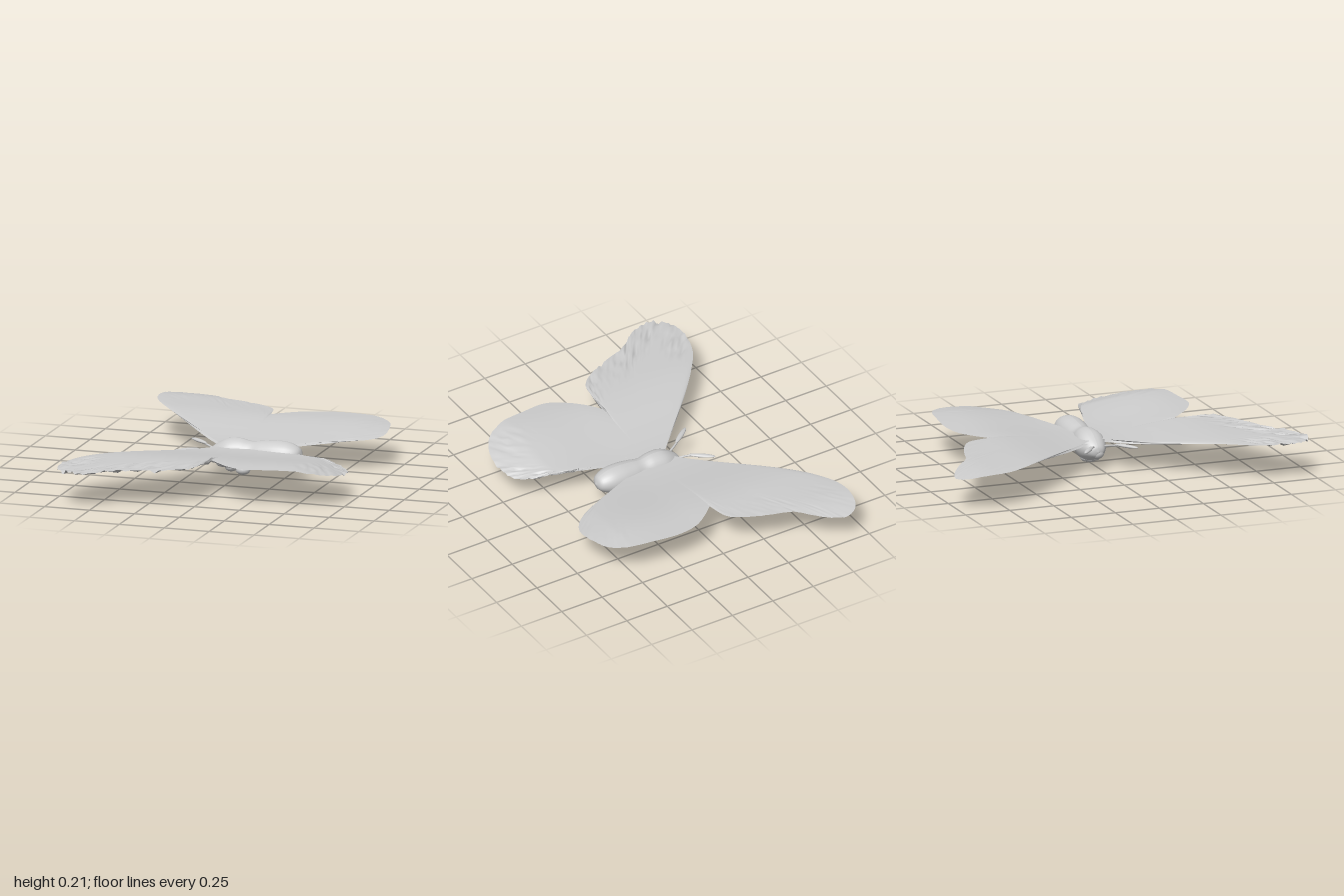
import * as THREE from 'three';

const grey = new THREE.MeshStandardMaterial({ color: 0xcccccc, side: THREE.DoubleSide });
grey.name = 'plain grey';

// Wing outlines as [x, z], from the leading root round to the trailing root
const WINGS = [
  { name: 'rightForewing', side: -1, root: [-0.12, 0], rough: 0.002, pts: [
    [-0.14, -0.1], [-0.3, -0.25], [-0.5, -0.45], [-0.64, -0.62], [-0.71, -0.75], [-0.72, -0.87], [-0.69, -0.96],
    [-0.62, -1], [-0.54, -0.98], [-0.45, -0.92], [-0.37, -0.85], [-0.25, -0.81], [-0.13, -0.76], [-0.05, -0.7], [-0.02, -0.58]] },
  { name: 'rightHindwing', side: -1, root: [0, 0.1], rough: 0.002, pts: [
    [-0.02, -0.58], [0.05, -0.64], [0.13, -0.69], [0.25, -0.715], [0.4, -0.705], [0.55, -0.675], [0.63, -0.61],
    [0.66, -0.52], [0.67, -0.4], [0.62, -0.31], [0.5, -0.23], [0.38, -0.2], [0.25, -0.18], [0.12, -0.12], [0.07, -0.08]] },
  { name: 'leftForewing', side: 1, root: [-0.12, 0], rough: 0.014, pts: [
    [-0.14, 0.08], [-0.3, 0.22], [-0.45, 0.37], [-0.58, 0.52], [-0.67, 0.65], [-0.71, 0.77], [-0.715, 0.89],
    [-0.67, 0.97], [-0.59, 1], [-0.5, 0.975], [-0.38, 0.88], [-0.25, 0.83], [-0.12, 0.77], [-0.03, 0.69], [0, 0.47]] },
  { name: 'leftHindwing', side: 1, root: [0, 0.1], rough: 0.008, pts: [
    [0, 0.47], [0.06, 0.54], [0.14, 0.61], [0.24, 0.66], [0.38, 0.65], [0.53, 0.63], [0.64, 0.57], [0.7, 0.46],
    [0.71, 0.35], [0.69, 0.26], [0.64, 0.2], [0.55, 0.155], [0.42, 0.125], [0.28, 0.13], [0.15, 0.11], [0.07, 0.07]] },
];

const hash = (i, j) => { const s = Math.sin(i * 12.99 + j * 78.23) * 43758.5; return s - Math.floor(s); };

// Gentle rise away from the body, with drooping tips and trailing corners
function wingHeight(x, z) {
  const s = Math.abs(z);
  let y = 0.145 + 0.05 * THREE.MathUtils.smoothstep(s, 0.05, 0.6);
  y += 0.01 * THREE.MathUtils.smoothstep(x, 0.1, 0.45);
  if (z < -0.8) y -= 0.75 * (s - 0.8) ** 2;
  if (x > 0.52) y -= (z > 0 ? 0.22 : 0.1) * (x - 0.52);
  return y;
}

// Grid of points surface(i, j) turned into an indexed geometry
function gridGeometry(rows, cols, point, flip) {
  const pos = [], idx = [];
  for (let i = 0; i <= rows; i++) for (let j = 0; j <= cols; j++) pos.push(...point(i, j));
  for (let i = 0; i < rows; i++) for (let j = 0; j < cols; j++) {
    const a = i * (cols + 1) + j, b = a + 1, c = a + cols + 1, d = c + 1;
    if (flip) idx.push(a, c, b, b, c, d);
    else idx.push(a, b, c, b, d, c);
  }
  const g = new THREE.BufferGeometry();
  g.setAttribute('position', new THREE.Float32BufferAttribute(pos, 3));
  g.setIndex(idx);
  g.computeVertexNormals();
  return g;
}

// Thin wing: upper and lower skins meeting at the rim
function makeWing({ name, side, root, rough, pts }) {
  const wing = new THREE.Group();
  wing.name = name;
  const curve = new THREE.CatmullRomCurve3(pts.map(([x, z]) => new THREE.Vector3(x, 0, z)), false, 'centripetal');
  const rows = 90, cols = 24;
  for (const layer of [1, -1]) {
    const geo = gridGeometry(rows, cols, (i, j) => {
      const t = i / rows, u = j / cols, rim = curve.getPoint(t);
      const x = THREE.MathUtils.lerp(THREE.MathUtils.lerp(root[0], root[1], t), rim.x, u);
      const z = THREE.MathUtils.lerp(0.03 * side, rim.z, u);
      // tattered texture near the outer margin
      const margin = THREE.MathUtils.smoothstep(u, 0.72, 0.85) * THREE.MathUtils.smoothstep(t, 0.3, 0.42);
      const ragged = hash(i, j) > 0.55 ? (hash(j, i) - 0.6) * 2 * rough * margin : 0;
      return [x, wingHeight(x, z) + ragged + layer * 0.008 * (1 - u ** 4), z];
    }, side * layer < 0);
    const skin = new THREE.Mesh(geo, grey);
    skin.name = layer > 0 ? 'upperSkin' : 'lowerSkin';
    wing.add(skin);
  }
  return wing;
}

// Head, thorax and abdomen lofted from oval sections [x, centre y, radius y, radius z]
function makeBody() {
  const sections = [[-0.175, 0.1, 0.001, 0.001], [-0.165, 0.1, 0.03, 0.035], [-0.13, 0.105, 0.055, 0.06],
    [-0.07, 0.11, 0.08, 0.08], [0, 0.11, 0.085, 0.075], [0.06, 0.108, 0.075, 0.066], [0.12, 0.113, 0.077, 0.075],
    [0.2, 0.12, 0.077, 0.08], [0.27, 0.125, 0.066, 0.072], [0.325, 0.128, 0.038, 0.045], [0.343, 0.128, 0.001, 0.001]];
  const spine = new THREE.CatmullRomCurve3(sections.map(([x, y]) => new THREE.Vector3(x, y, 0)));
  const size = new THREE.CatmullRomCurve3(sections.map(([x, , ry, rz]) => new THREE.Vector3(x, ry, rz)));
  const geo = gridGeometry(50, 28, (i, j) => {
    const p = spine.getPoint(i / 50), r = size.getPoint(i / 50), a = j / 28 * Math.PI * 2;
    return [r.x, p.y + Math.cos(a) * r.y, -0.018 + Math.sin(a) * r.z];
  }, true);
  const body = new THREE.Mesh(geo, grey);
  body.name = 'body';
  return body;
}

function ellipsoid(name, center, radii) {
  const m = new THREE.Mesh(new THREE.SphereGeometry(1, 18, 12), grey);
  m.name = name;
  m.position.set(...center);
  m.scale.set(...radii);
  return m;
}

// Antenna: fine stalk ending in a flat leaf-shaped club
function makeAntenna(side) {
  const antenna = new THREE.Group();
  antenna.name = side > 0 ? 'leftAntenna' : 'rightAntenna';
  const stalk = new THREE.CatmullRomCurve3([
    new THREE.Vector3(-0.14, 0.12, side * 0.03), new THREE.Vector3(-0.2, 0.135, side * 0.06),
    new THREE.Vector3(-0.26, 0.142, side * 0.105)]);
  const stem = new THREE.Mesh(new THREE.TubeGeometry(stalk, 12, 0.006, 6), grey);
  stem.name = 'antennaStalk';
  const club = ellipsoid('antennaClub', [-0.262, 0.142, side * 0.107], [0.073, 0.009, 0.014]);
  club.rotation.y = side * 0.66;
  antenna.add(stem, club);
  return antenna;
}

export function createModel() {
  const model = new THREE.Group();
  model.name = 'butterfly';
  model.add(makeBody());
  WINGS.forEach((w) => model.add(makeWing(w)));
  for (const side of [1, -1]) model.add(makeAntenna(side));
  // Folded legs and mouthparts under the thorax
  [[-0.145, 0.085, 0.03, 0.03], [-0.1, 0.06, 0.035, 0.025], [-0.05, 0.042, 0.035, 0.028], [0.015, 0.028, 0.04, 0.028]]
    .forEach(([x, y, rx, ry]) => model.add(ellipsoid('foldedLeg', [x, y, -0.01], [rx, ry, 0.035])));
  return model;
}
